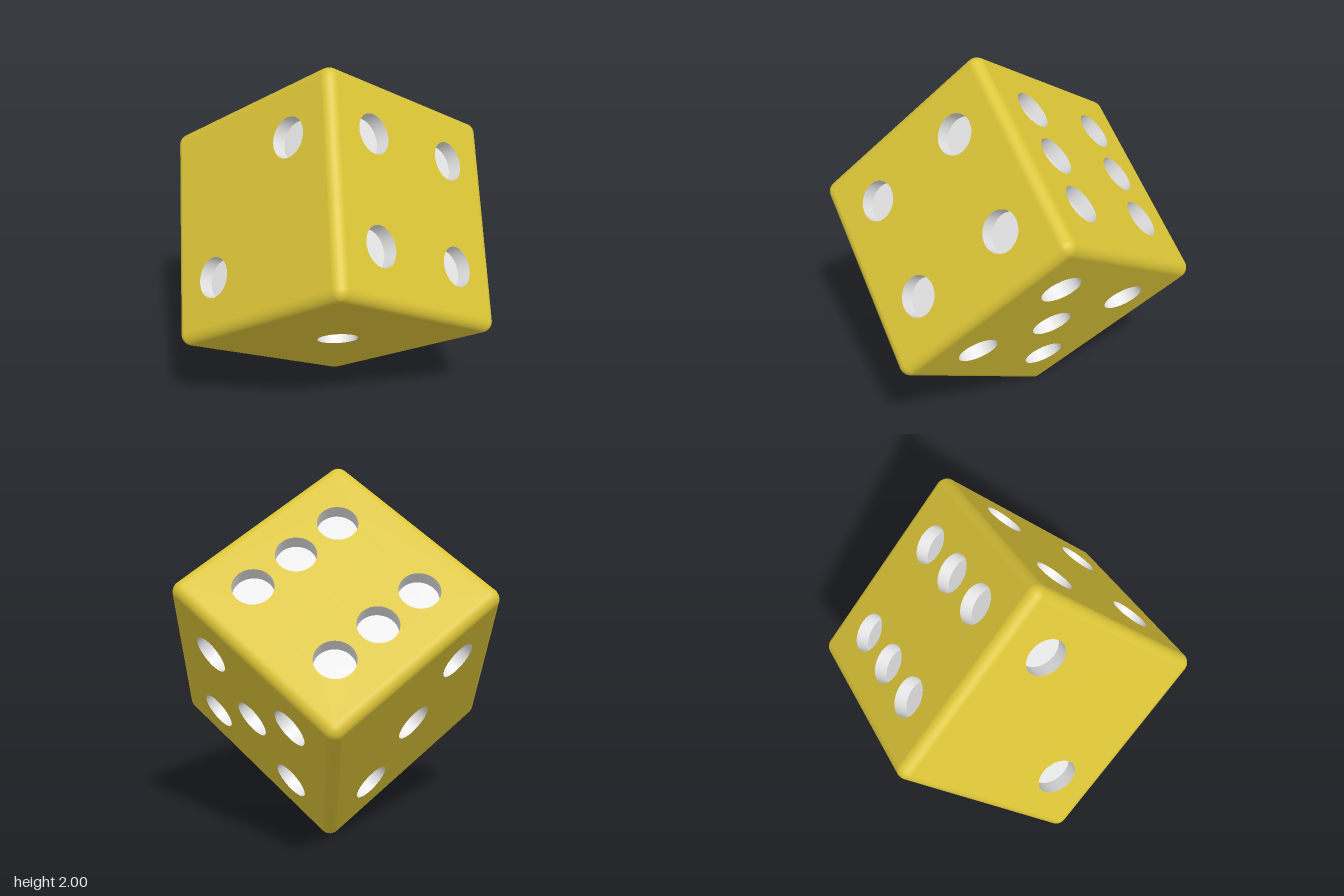
import * as THREE from 'three';
import { mergeGeometries } from 'three/addons/utils/BufferGeometryUtils.js';

const H = 0.55;      // half size of the flat part of a face
const R = 0.06;      // rounding of edges and corners
const PIP_R = 0.11, PIP_DEPTH = 0.08, S = 0.3;

const yellow = new THREE.MeshStandardMaterial({ color: 0xdbc437 });
yellow.name = 'yellow';
const white = new THREE.MeshStandardMaterial({ color: 0xe7e7e7, side: THREE.DoubleSide });
white.name = 'white';

// Pip positions in each face's own (u, v) plane
const DIAGONAL = [[S, S], [-S, -S]], OTHER = [[S, -S], [-S, S]], MID = [[0, 0]];
const FOUR = [...DIAGONAL, ...OTHER];
const FACES = [
  { name: 'sixFace', u: [0, 1, 0], v: [0, 0, 1], n: [1, 0, 0], pips: [...FOUR, [S, 0], [-S, 0]] },
  { name: 'oneFace', u: [0, 0, 1], v: [0, 1, 0], n: [-1, 0, 0], pips: MID },
  { name: 'threeFace', u: [0, 0, 1], v: [1, 0, 0], n: [0, 1, 0], pips: [...DIAGONAL, ...MID] },
  { name: 'fourFace', u: [1, 0, 0], v: [0, 0, 1], n: [0, -1, 0], pips: FOUR },
  { name: 'twoFace', u: [1, 0, 0], v: [0, 1, 0], n: [0, 0, 1], pips: OTHER },
  { name: 'fiveFace', u: [0, 1, 0], v: [1, 0, 0], n: [0, 0, -1], pips: [...FOUR, ...MID] },
];

// Flat face with round holes, and a flat-bottomed cup behind each hole
function makeFace({ name, u, v, n, pips }) {
  const face = new THREE.Group();
  face.name = name;
  const shape = new THREE.Shape([[-H, -H], [H, -H], [H, H], [-H, H]].map(p => new THREE.Vector2(...p)));
  for (const [x, y] of pips) {
    shape.holes.push(new THREE.Path().absarc(x, y, PIP_R, 0, Math.PI * 2, true));
    const wall = new THREE.CylinderGeometry(PIP_R, PIP_R, PIP_DEPTH, 48, 1, true)
      .rotateX(Math.PI / 2).translate(x, y, -PIP_DEPTH / 2);
    const floor = new THREE.CircleGeometry(PIP_R, 48).translate(x, y, -PIP_DEPTH);
    const pip = new THREE.Mesh(mergeGeometries([wall, floor]), white);
    pip.name = 'pip';
    face.add(pip);
  }
  const plate = new THREE.Mesh(new THREE.ShapeGeometry(shape, 24), yellow);
  plate.name = 'facePlate';
  face.add(plate);
  const N = new THREE.Vector3(...n);
  face.applyMatrix4(new THREE.Matrix4()
    .makeBasis(new THREE.Vector3(...u), new THREE.Vector3(...v), N)
    .setPosition(N.clone().multiplyScalar(H + R)));
  return face;
}

// Twelve quarter-round edges and eight rounded corners
function makeRounding() {
  const Q = Math.PI / 2, parts = [];
  for (let k = 0; k < 4; k++) {
    const edge = () => new THREE.CylinderGeometry(R, R, 2 * H, 8, 1, true, 0, Q)
      .translate(H, 0, H).rotateY(k * Q);
    parts.push(edge(), edge().rotateX(Q), edge().rotateZ(Q));
    const corner = () => new THREE.SphereGeometry(R, 8, 8, 0, Q, 0, Q)
      .translate(-H, H, H).rotateY(k * Q);
    parts.push(corner(), corner().rotateX(Math.PI));
  }
  const mesh = new THREE.Mesh(mergeGeometries(parts), yellow);
  mesh.name = 'roundedEdges';
  return mesh;
}

export function createModel() {
  const die = new THREE.Group();
  die.name = 'die';
  die.add(makeRounding(), ...FACES.map(makeFace));

  // Tilt the cube so that it balances on one corner
  const X = new THREE.Vector3(-0.198, 0.707, -0.681).normalize();
  const Z = X.clone().cross(new THREE.Vector3(-0.799, -0.518, -0.306)).normalize();
  const Y = Z.clone().cross(X);
  die.quaternion.setFromRotationMatrix(new THREE.Matrix4().makeBasis(X, Y, Z));
  die.position.y = 1;

  const model = new THREE.Group();
  model.name = 'model';
  model.add(die);
  return model;
}
